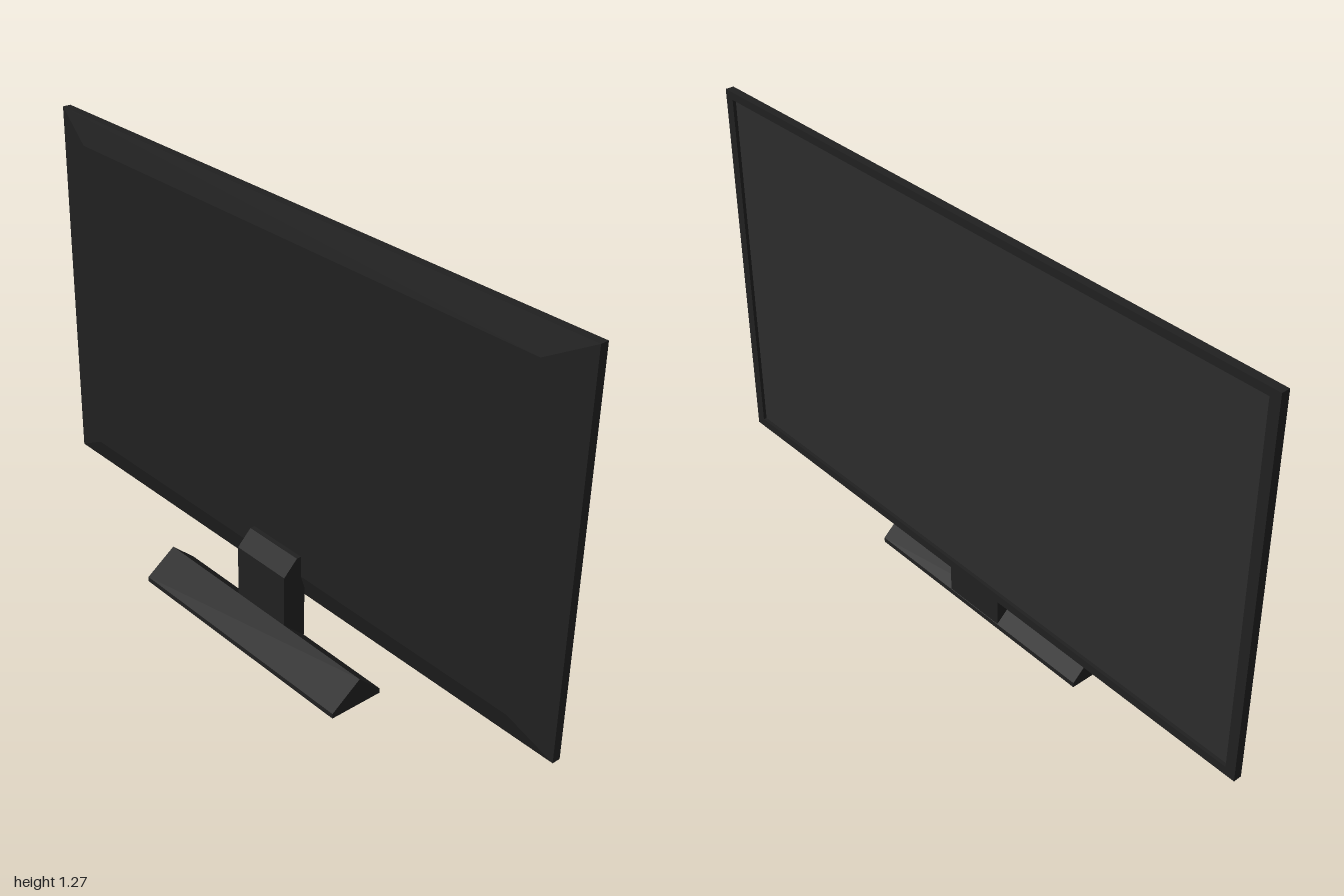
import * as THREE from 'three';

const dark = new THREE.MeshStandardMaterial({ color: 0x202020 });
const glass = new THREE.MeshStandardMaterial({ color: 0x2c2c2c });

function rectangle(Path, x0, x1, y0, y1) {
  return new Path([[x0, y0], [x1, y0], [x1, y1], [x0, y1]].map(p => new THREE.Vector2(...p)));
}

// Side profile in x and y, extruded evenly to both sides of z = 0
function sideProfile(points, width) {
  const shape = new THREE.Shape(points.map(p => new THREE.Vector2(...p)));
  return new THREE.ExtrudeGeometry(shape, { depth: width, bevelEnabled: false })
    .translate(0, 0, -width / 2);
}

export function createModel() {
  const model = new THREE.Group();
  model.name = 'television';
  const add = (name, geometry, material = dark) => {
    const mesh = new THREE.Mesh(geometry, material);
    mesh.name = name;
    model.add(mesh);
  };

  // Bezel: rectangular frame facing +x
  const frame = rectangle(THREE.Shape, -1, 1, 0.144, 1.268);
  frame.holes.push(rectangle(THREE.Path, -0.97, 0.97, 0.17, 1.245));
  add('bezel', new THREE.ExtrudeGeometry(frame, { depth: 0.025, bevelEnabled: false })
    .rotateY(Math.PI / 2).translate(0.075, 0, 0));

  // Screen, slightly recessed in the bezel
  add('screen', new THREE.PlaneGeometry(1.94, 1.075)
    .rotateY(Math.PI / 2).translate(0.09, 0.7075, 0), glass);

  // Back shell: box whose rear face is drawn in on all four sides
  const shell = new THREE.BoxGeometry(0.025, 1.124, 2);
  const pos = shell.attributes.position;
  for (let i = 0; i < pos.count; i++) {
    if (pos.getX(i) < 0) {
      pos.setY(i, Math.sign(pos.getY(i)) * 0.486);
      pos.setZ(i, Math.sign(pos.getZ(i)) * 0.865);
    }
  }
  shell.computeVertexNormals();
  add('backShell', shell.translate(0.0625, 0.706, 0));

  // Neck with a chamfered top rear edge
  add('neck', sideProfile([
    [-0.01, 0.005], [0.064, 0.005], [0.064, 0.285], [0.035, 0.285], [-0.01, 0.24],
  ], 0.2));

  // Ridged foot
  add('foot', sideProfile([
    [-0.104, 0], [0.065, 0], [0.065, 0.015], [-0.01, 0.083], [-0.104, 0.015],
  ], 0.82));

  return model;
}
